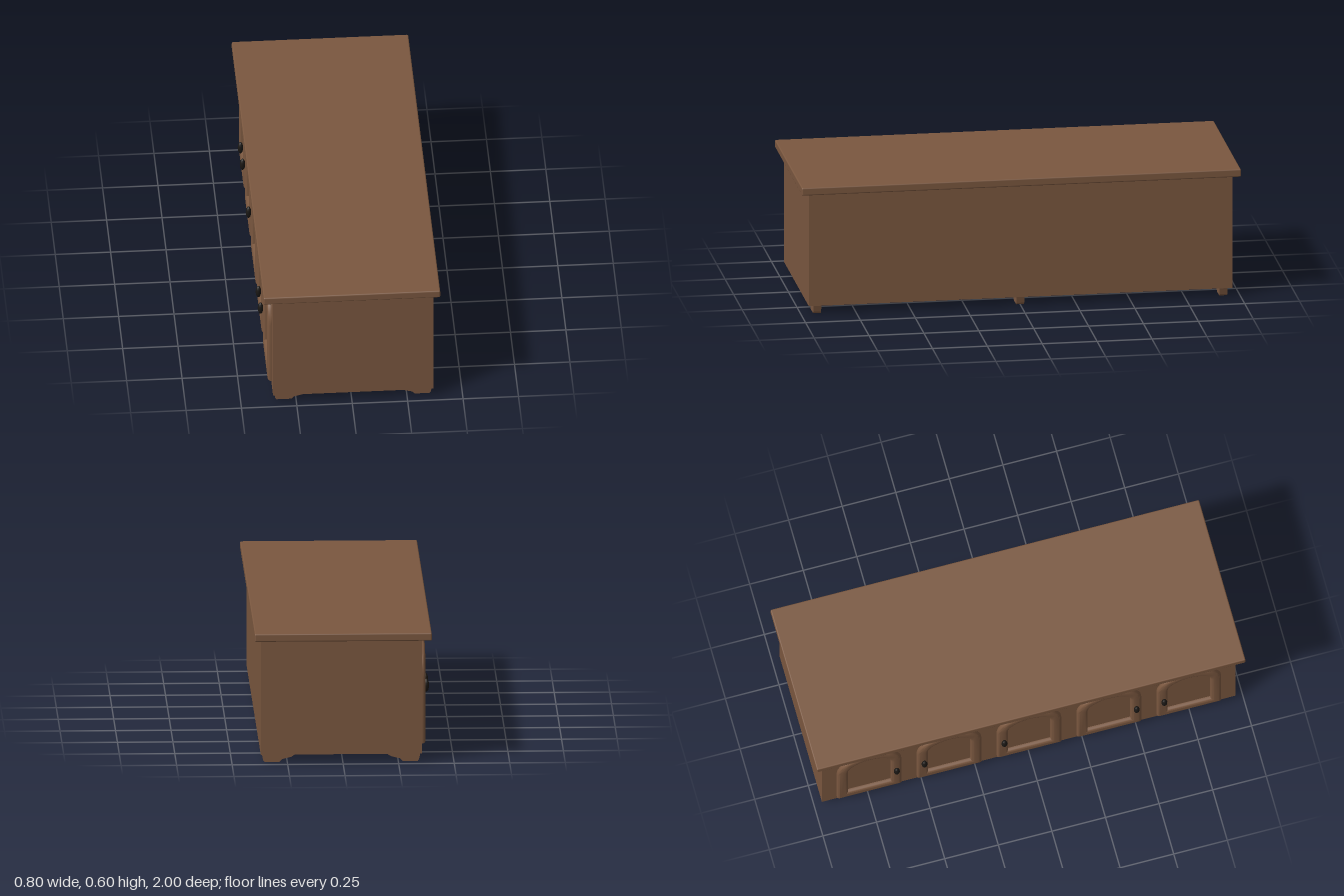
import * as THREE from 'three';
import { RoundedBoxGeometry } from 'three/addons/geometries/RoundedBoxGeometry.js';
import { toCreasedNormals } from 'three/addons/utils/BufferGeometryUtils.js';

const wood = new THREE.MeshStandardMaterial({ color: 0x7a573f });
const dark = new THREE.MeshStandardMaterial({ color: 0x1a1714 });

function add(parent, name, geometry, material, x, y, z) {
  const mesh = new THREE.Mesh(geometry, material);
  mesh.name = name;
  mesh.position.set(x, y, z);
  parent.add(mesh);
  return mesh;
}

// Upright rectangle with a semicircular top, base at y = bottom
function archPath(Type, halfWidth, bottom, spring) {
  const p = new Type();
  p.moveTo(-halfWidth, bottom);
  p.lineTo(halfWidth, bottom);
  p.lineTo(halfWidth, spring);
  p.absarc(0, spring, halfWidth, 0, Math.PI, false);
  p.closePath();
  return p;
}

export function createModel() {
  const group = new THREE.Group();
  group.name = 'sideboard';
  const midX = 0.0075;

  // Cabinet body and overhanging top
  add(group, 'body', new THREE.BoxGeometry(0.725, 0.53, 1.93), wood, midX, 0.303, 0);
  add(group, 'top', new RoundedBoxGeometry(0.797, 0.036, 2, 2, 0.006), wood, -0.001, 0.582, 0);

  // Raised arched door mouldings on the -x side
  const frame = archPath(THREE.Shape, 0.15, 0.07, 0.372);
  frame.holes.push(archPath(THREE.Path, 0.1, 0.12, 0.372));
  const frameGeo = toCreasedNormals(new THREE.ExtrudeGeometry(frame, {
    depth: 0.012, bevelThickness: 0.013, bevelSize: 0.015, bevelOffset: -0.015,
    bevelSegments: 4, curveSegments: 10,
  }), 0.7);

  const knobGeo = new THREE.SphereGeometry(1, 12, 8);
  knobGeo.scale(0.0125, 0.03, 0.0135);
  const knobSides = [1, -1, -1, 1, -1];
  knobSides.forEach((side, i) => {
    const z = (i - 2) * 0.373;
    const door = add(group, 'doorMoulding', frameGeo, wood, -0.35, 0, z);
    door.rotation.y = -Math.PI / 2;
    add(group, 'knob', knobGeo, dark, -0.387, 0.28, z + side * 0.122);
  });

  // Bracket feet: profile given as distance from the centre line, and height
  const profile = [[0.358, 0.04], [0.351, 0.008], [0.345, 0], [0.278, 0],
    [0.267, 0.012], [0.224, 0.023], [0.198, 0.04]];
  for (const side of [-1, 1]) {
    const shape = new THREE.Shape(profile.map(([x, y]) => new THREE.Vector2(x * side, y)));
    const footGeo = new THREE.ExtrudeGeometry(shape, { depth: 0.036, bevelEnabled: false });
    footGeo.translate(0, 0, -0.018);
    for (const z of [-0.925, 0, 0.925]) add(group, 'foot', footGeo, wood, midX, 0, z);
  }
  return group;
}
